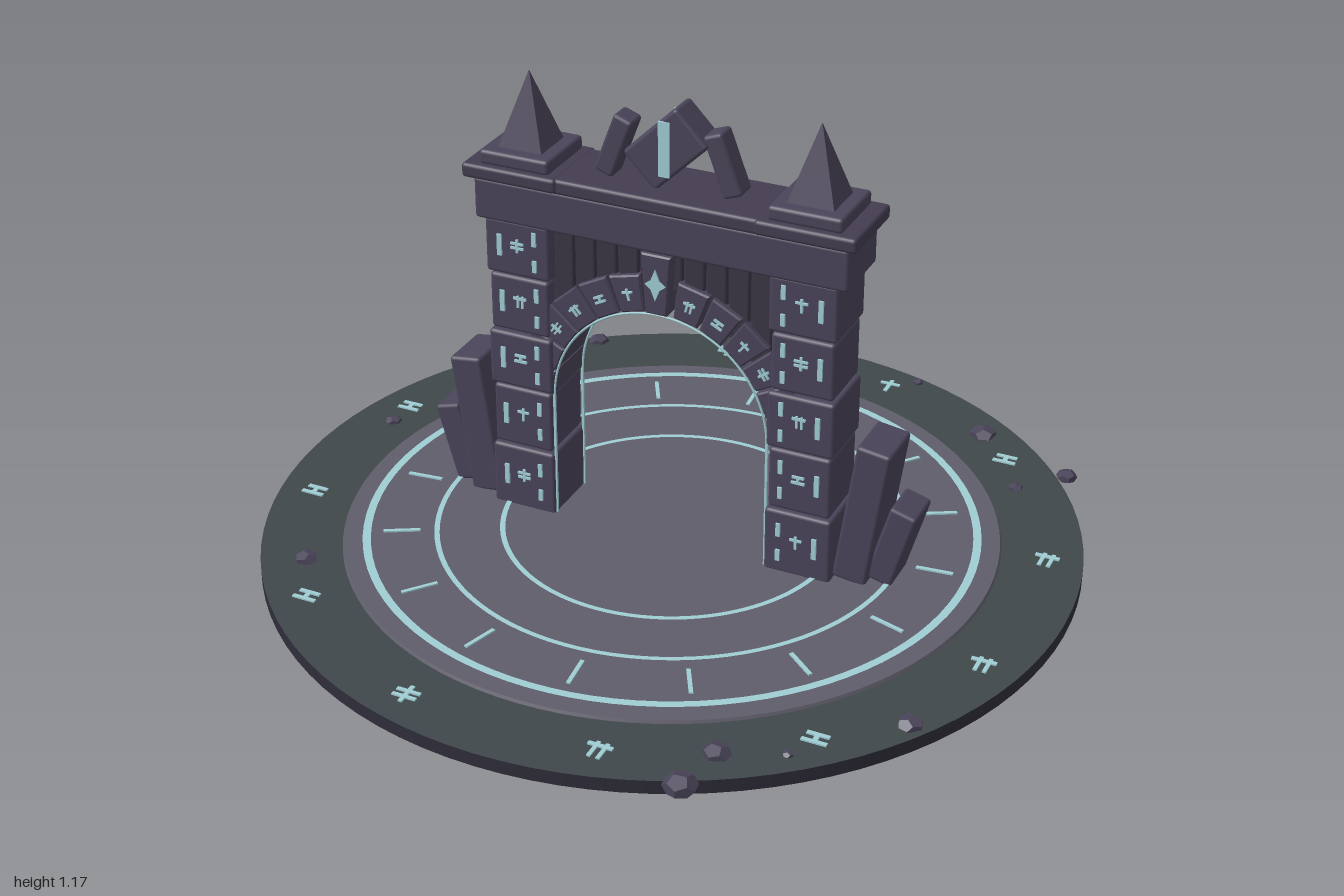
import * as THREE from 'three';
import { RoundedBoxGeometry } from 'three/addons/geometries/RoundedBoxGeometry.js';

const mat = (name, color, extra = {}) => {
  const m = new THREE.MeshStandardMaterial({ color, ...extra });
  m.name = name;
  return m;
};

export function createModel() {
  const stone = mat('stone', 0x4a4459);
  const trim = mat('trim stone', 0x433d50);
  const dark = mat('dark stone', 0x393443);
  const edge = mat('slab edge', 0x2f2d39);
  const ground = mat('outer ground', 0x40474a);
  const paving = mat('paving', 0x605d6b);
  const glow = mat('pale glow', 0x9fcdd3);
  const rock = mat('rubble', 0x4a4459, { flatShading: true });

  const model = new THREE.Group();
  const add = (name, geo, material, x = 0, y = 0, z = 0, parent = model) => {
    const m = new THREE.Mesh(geo, material);
    m.name = name;
    m.position.set(x, y, z);
    parent.add(m);
    return m;
  };
  const block = (name, w, h, d, x, y, z, material = stone, r = 0.009) =>
    add(name, new RoundedBoxGeometry(w, h, d, 2, r), material, x, y, z);
  const plate = (name, w, h, x, y, z, parent = model) =>
    add(name, new THREE.BoxGeometry(w, h, 0.006), glow, x, y, z, parent);

  // Simple rune marks: each bar is [x, y, width, height] in units of the rune size
  const runes = [
    [[0, 0, 0.18, 1], [0, 0.17, 1, 0.16], [0, -0.17, 1, 0.16]],
    [[0, 0, 0.18, 1], [0, 0.2, 0.9, 0.16]],
    [[0, 0.22, 0.9, 0.18], [0, -0.22, 1, 0.18], [0, 0, 0.2, 0.4]],
    [[0, 0.25, 1, 0.18], [-0.15, 0, 0.16, 0.9], [0.22, 0, 0.16, 0.9]],
  ];
  const rune = (kind, size, x, y, z) => {
    const g = new THREE.Group();
    g.name = 'rune';
    g.position.set(x, y, z);
    for (const [bx, by, w, h] of runes[kind]) plate('runeBar', w * size, h * size, bx * size, by * size, 0, g);
    model.add(g);
    return g;
  };

  // Round base with paved centre
  add('baseDisc', new THREE.CylinderGeometry(1, 1, 0.034, 96), [edge, ground, edge], 0, 0.017, 0);
  add('pavedDisc', new THREE.CylinderGeometry(0.8, 0.805, 0.01, 96), paving, 0, 0.036, 0);
  for (const [r, w] of [[0.745, 0.02], [0.575, 0.013], [0.415, 0.013]]) {
    const ring = add('glowRing', new THREE.RingGeometry(r - w / 2, r + w / 2, 96), glow, 0, 0.044, 0);
    ring.rotation.x = -Math.PI / 2;
  }
  for (let i = 0; i < 16; i++) {
    const a = (-6 + i * 22.5) * Math.PI / 180;
    const tick = add('radialTick', new THREE.BoxGeometry(0.09, 0.005, 0.01), glow,
      0.66 * Math.cos(a), 0.0425, 0.66 * Math.sin(a));
    tick.rotation.y = -a;
  }
  [3, 2, 3, 0, 2, 2, 2, 0, 0, 1, 2, 3].forEach((kind, i) => {
    const a = (15 + 30 * i) * Math.PI / 180;
    rune(kind, 0.06, 0.91 * Math.cos(a), 0.035, 0.91 * Math.sin(a)).rotation.x = -Math.PI / 2;
  });

  // Scattered rubble: x, z, radius
  const rubble = [[0, -0.9, 0.03], [0.07, -0.95, 0.018], [0.3, -0.93, 0.016], [0.55, -0.74, 0.036],
    [0.81, -0.63, 0.027], [0.71, -0.52, 0.02], [-0.59, -0.78, 0.028], [-0.65, -0.61, 0.022], [-0.88, -0.15, 0.022],
    [-0.73, 0.51, 0.03], [0.81, 0.51, 0.032], [0.47, 0.78, 0.034], [0.61, 0.72, 0.014], [0.445, 0.91, 0.04]];
  rubble.forEach(([x, z, r], i) => {
    const m = add('rubble', new THREE.DodecahedronGeometry(r), rock, x, 0.036, z);
    m.scale.y = 0.6;
    m.rotation.y = i * 1.7;
  });

  // Pillars, spires and leaning slabs on both sides
  const rows = [[0.035, 0.206], [0.21, 0.37], [0.375, 0.52], [0.525, 0.672], [0.677, 0.82]];
  for (const s of [-1, 1]) {
    rows.forEach(([y0, y1], i) => {
      const w = i % 2 ? 0.156 : 0.168;
      const y = (y0 + y1) / 2;
      block('pillarBlock', w, y1 - y0, i % 2 ? 0.16 : 0.17, s * 0.363, y, 0);
      for (const f of [-1, 1]) {
        const z = f * (i % 2 ? 0.082 : 0.087);
        plate('outerDash', 0.012, 0.055, s * 0.408, y + 0.005, z);
        plate('innerDash', 0.011, 0.035, s * 0.316, y + 0.035, z);
        plate('innerDash', 0.011, 0.03, s * 0.316, y - 0.035, z);
        rune((i + (s > 0 ? 1 : 0)) % 4, 0.034, s * 0.361, y + 0.01, z);
      }
    });
    block('towerCollar', 0.245, 0.036, 0.214, s * 0.37, 0.938, 0, trim);
    block('towerPedestal', 0.18, 0.036, 0.18, s * 0.363, 0.972, 0);
    const spire = add('spire', new THREE.ConeGeometry(0.08, 0.182, 4, 1).toNonIndexed(), stone, s * 0.363, 1.08, 0);
    spire.geometry.computeVertexNormals();
    spire.rotation.y = Math.PI / 4;

    block('tallLeaningSlab', 0.085, 0.37, 0.14, s * 0.51, 0.222, -0.012).rotation.z = -s * 0.14;
    block('shortLeaningSlab', 0.068, 0.21, 0.11, s * 0.578, 0.143, -0.02).rotation.z = -s * 0.28;
    block('crestSideSlab', 0.05, 0.155, 0.06, s * 0.137, 1.032, 0).rotation.z = s * 0.36;
  }

  // Lintel, its cap and the crest stone
  block('lintel', 0.94, 0.105, 0.18, 0, 0.866, 0);
  block('lintelCap', 0.96, 0.038, 0.2, 0, 0.936, 0, trim);
  block('crestStone', 0.117, 0.185, 0.084, 0, 1.052, 0).rotation.z = -0.8;
  for (const f of [-1, 1]) plate('crestGlow', 0.028, 0.135, 0, 1.055, f * 0.043);

  // Slatted wall above the arch
  const archY = 0.372;
  for (let i = -5; i < 5; i++) {
    const x = (i + 0.5) * 0.056;
    const out = Math.abs(x) + 0.025;
    const y0 = archY + Math.sqrt(0.34 ** 2 - out ** 2);
    block('wallSlat', 0.051, 0.83 - y0, 0.12, x, (0.83 + y0) / 2, 0, dark, 0.006);
  }
  const wall = new THREE.Shape();
  wall.moveTo(0.3, archY).lineTo(0.3, 0.83).lineTo(-0.3, 0.83).lineTo(-0.3, archY);
  wall.absarc(0, archY, 0.3, Math.PI, 0, true);
  add('wallCore', new THREE.ExtrudeGeometry(wall, { depth: 0.1, bevelEnabled: false, curveSegments: 24 }),
    dark, 0, 0, -0.05);

  // Arch stones, with a keystone in the middle
  const wedge = (bottom, top, y0, y1, depth) => {
    const p = new THREE.Shape();
    p.moveTo(-bottom, y0).lineTo(bottom, y0).lineTo(top, y1).lineTo(-top, y1).closePath();
    return new THREE.ExtrudeGeometry(p, { depth: depth - 0.008, bevelThickness: 0.004, bevelSize: 0.004,
      bevelOffset: -0.004, bevelSegments: 1 }).translate(0, 0, -depth / 2 + 0.004);
  };
  const step = Math.PI / 13;
  for (let i = -6; i <= 6; i++) {
    if (i === 0) continue;
    add('archStone', wedge(0.031, 0.041, 0.279, 0.372, 0.15), stone, 0, archY, 0).rotation.z = i * step;
    if (Math.abs(i) > 5) continue;
    for (const f of [-1, 1]) {
      const a = i * step;
      rune((i + 8) % 4, 0.03, -0.325 * Math.sin(a), archY + 0.325 * Math.cos(a), f * 0.077).rotation.z = a;
    }
  }
  add('keystone', wedge(0.027, 0.038, 0.285, 0.438, 0.18), stone, 0, archY, 0);
  const star = new THREE.Shape();
  for (let i = 0; i < 8; i++) {
    const r = i % 2 ? 0.016 : i % 4 ? 0.026 : 0.04;
    const a = i * Math.PI / 4;
    star[i ? 'lineTo' : 'moveTo'](r * Math.sin(a), r * Math.cos(a));
  }
  const starGeo = new THREE.ExtrudeGeometry(star, { depth: 0.006, bevelEnabled: false });
  for (const f of [-1, 1]) {
    add('keystoneStar', starGeo, glow, 0, 0.735, f * 0.091 - 0.003);
    // Fine glowing line round the opening
    add('openingArc', new THREE.TorusGeometry(0.277, 0.003, 6, 48, Math.PI), glow, 0, archY, f * 0.074);
    for (const s of [-1, 1]) plate('openingLine', 0.006, archY - 0.04, s * 0.278, (archY + 0.04) / 2, f * 0.074);
  }
  return model;
}
